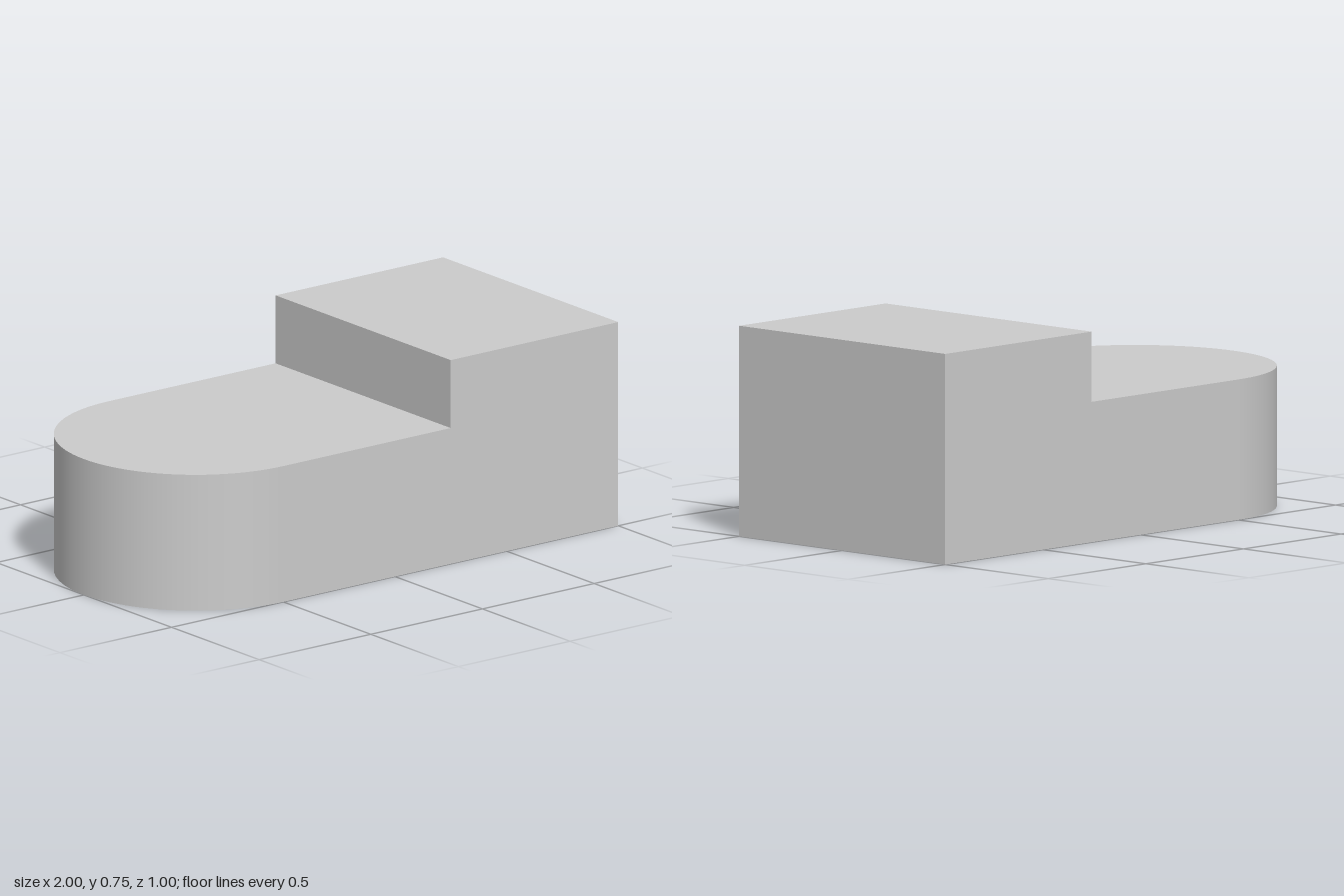
import * as THREE from 'three';

const WIDTH = 1, LOW = 0.5, HIGH = 0.75;
const NOSE_X = -0.5, STEP_X = 0.25, END_X = 1;

export function createModel() {
  const group = new THREE.Group();
  group.name = 'steppedBlock';
  const material = new THREE.MeshStandardMaterial({ color: 0xcccccc });

  const add = (name, geometry) => {
    const mesh = new THREE.Mesh(geometry, material);
    mesh.name = name;
    group.add(mesh);
    return mesh;
  };

  // Straight body: stepped side profile extruded across the width
  const profile = new THREE.Shape([
    [NOSE_X, 0], [END_X, 0], [END_X, HIGH],
    [STEP_X, HIGH], [STEP_X, LOW], [NOSE_X, LOW],
  ].map(([x, y]) => new THREE.Vector2(x, y)));
  const body = new THREE.ExtrudeGeometry(profile, { depth: WIDTH, bevelEnabled: false });
  add('steppedBody', body.translate(0, 0, -WIDTH / 2));

  // Rounded end: half cylinder, tangent to the body's sides
  const r = WIDTH / 2;
  const nose = new THREE.CylinderGeometry(r, r, LOW, 48, 1, false, Math.PI, Math.PI);
  add('roundedEnd', nose.translate(NOSE_X, LOW / 2, 0));

  return group;
}
